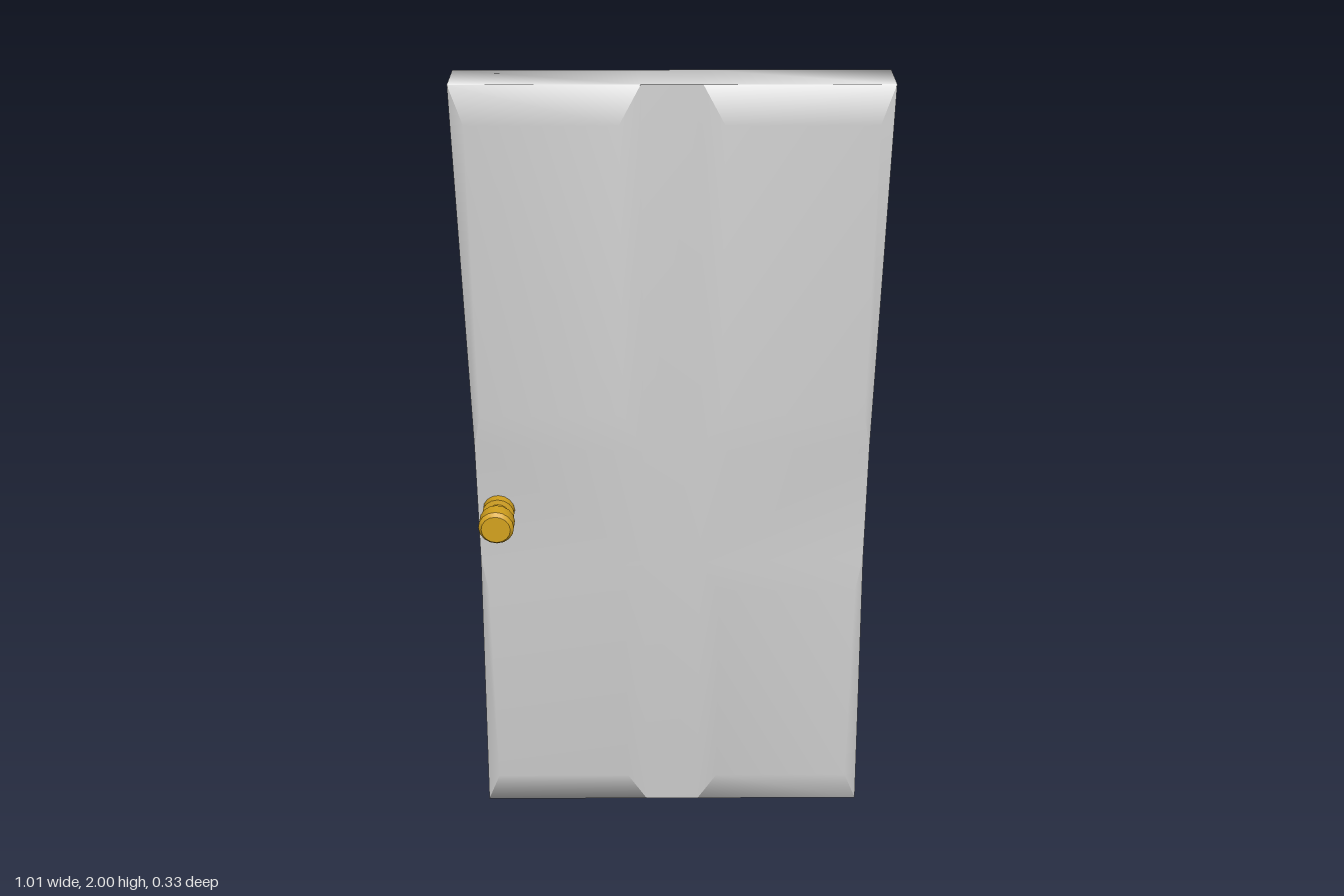
import * as THREE from 'three';
import { toCreasedNormals } from 'three/addons/utils/BufferGeometryUtils.js';

// Door slab: four raised panels with bevelled rims around a cross whose arms slope out to the edges.
function slabGeometry() {
  const pos = [];
  const quad = (a, b, c, d, flip) => {
    const q = flip ? [a, d, c, b] : [a, b, c, d];
    for (const i of [0, 1, 2, 0, 2, 3]) pos.push(...q[i]);
  };
  const zEdge = 0.06, zPanel = 0.074, zCentre = 0.084;
  const rowsOf = { '1': [1.09, 1.18, 1.91, 2], '-1': [0.77, 0.68, 0.09, 0] };
  const top = rowsOf[1], bottom = rowsOf[-1];
  const xIn = 0.07, xPanel = 0.12, xRim = 0.47, xMid = 0.488, xCorner = 0.503;

  for (const sz of [1, -1]) {
    const back = sz < 0;
    // centre of the cross
    quad([-xIn, bottom[0], sz * zCentre], [xIn, bottom[0], sz * zCentre],
      [xIn, top[0], sz * zCentre], [-xIn, top[0], sz * zCentre], back);
    for (const s of [1, -1]) {
      const r = rowsOf[s], flip = s * sz < 0;
      // vertical and horizontal arms
      quad([-xIn, r[0], sz * zCentre], [xIn, r[0], sz * zCentre],
        [xIn, r[3], sz * zEdge], [-xIn, r[3], sz * zEdge], flip);
      quad([s * xIn, bottom[0], sz * zCentre], [s * xMid, bottom[0], sz * zEdge],
        [s * xMid, top[0], sz * zEdge], [s * xIn, top[0], sz * zCentre], flip);
    }
    // one panel per quadrant, with its rim on four sides
    for (const sx of [1, -1]) for (const sy of [1, -1]) {
      const r = rowsOf[sy], flip = sx * sy * sz < 0;
      const inner = [[xPanel, 1], [xRim, 1], [xRim, 2], [xPanel, 2]]
        .map(([x, i]) => [sx * x, r[i], sz * zPanel]);
      const outer = [[xIn, 0, zCentre], [xMid, 0, zEdge], [xCorner, 3, zEdge], [xIn, 3, zEdge]]
        .map(([x, i, z]) => [sx * x, r[i], sz * z]);
      quad(...inner, flip);
      for (let i = 0; i < 4; i++) {
        const j = (i + 1) % 4;
        quad(outer[i], outer[j], inner[j], inner[i], flip);
      }
    }
  }

  // narrow edges around the slab
  const outline = [
    [-xCorner, 0], [-xIn, 0], [xIn, 0], [xCorner, 0], [xMid, bottom[0]], [xMid, top[0]],
    [xCorner, 2], [xIn, 2], [-xIn, 2], [-xCorner, 2], [-xMid, top[0]], [-xMid, bottom[0]],
  ];
  outline.forEach((p, i) => {
    const q = outline[(i + 1) % outline.length];
    quad([...p, zEdge], [...p, -zEdge], [...q, -zEdge], [...q, zEdge], false);
  });

  const g = new THREE.BufferGeometry();
  g.setAttribute('position', new THREE.Float32BufferAttribute(pos, 3));
  return toCreasedNormals(g, THREE.MathUtils.degToRad(84));
}

// Knob with rosette and neck, turned along +z
function knobGeometry() {
  const profile = [
    [0, 0.06], [0.04, 0.06], [0.04, 0.086], [0.028, 0.088], [0.028, 0.106],
    [0.044, 0.121], [0.044, 0.156], [0.036, 0.166], [0, 0.166],
  ].map(([r, h]) => new THREE.Vector2(r, h));
  const g = new THREE.LatheGeometry(profile, 16);
  g.rotateX(Math.PI / 2);
  return toCreasedNormals(g, 0.6);
}

export function createModel() {
  const paint = new THREE.MeshStandardMaterial({ color: 0xcfcfcf });
  paint.name = 'pale grey paint';
  const brass = new THREE.MeshStandardMaterial({ color: 0xd4a21e });
  brass.name = 'brass';

  const door = new THREE.Group();
  door.name = 'door';

  const slab = new THREE.Mesh(slabGeometry(), paint);
  slab.name = 'doorSlab';
  door.add(slab);

  // a knob on each face
  const knobShape = knobGeometry();
  for (const [name, turn] of [['frontKnob', 0], ['backKnob', Math.PI]]) {
    const knob = new THREE.Mesh(knobShape, brass);
    knob.name = name;
    knob.position.set(-0.435, 0.915, 0);
    knob.rotation.y = turn;
    door.add(knob);
  }
  return door;
}
